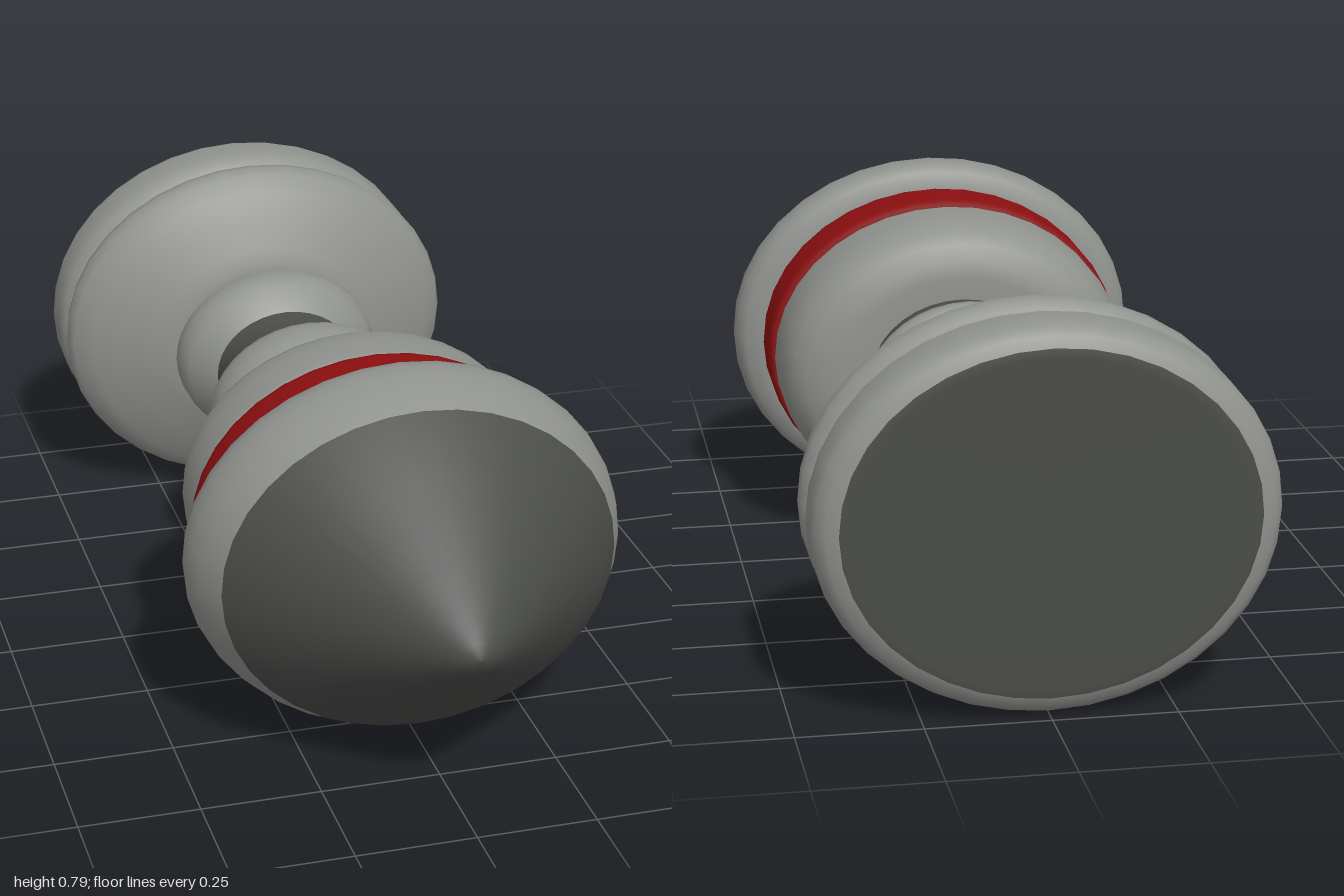
import * as THREE from 'three';

const CENTRE_Y = 0.397;
const SQUASH = 0.853; // height to width ratio of the oval cross-section

const material = (name, color) => {
  const m = new THREE.MeshStandardMaterial({ color });
  m.name = name;
  return m;
};

export function createModel() {
  const model = new THREE.Group();
  model.name = 'turnedSpindle';
  const light = material('light grey', 0x90928e);
  const dark = material('dark grey', 0x4a4c49);
  const red = material('red', 0x8c0f10);

  // Turns a [z, radius] profile, listed back to front, around the z axis
  const turn = (name, mat, profile) => {
    const points = profile.map(([z, r]) => new THREE.Vector2(r, z));
    const geometry = new THREE.LatheGeometry(points, 36);
    geometry.rotateX(Math.PI / 2);
    geometry.scale(1, SQUASH, 1);
    geometry.translate(0, CENTRE_Y, 0);
    const mesh = new THREE.Mesh(geometry, mat);
    mesh.name = name;
    model.add(mesh);
  };

  // Base
  turn('backDisc', dark, [[-1, 0], [-1, 0.39], [-0.997, 0.41]]);
  turn('baseRim', light, [[-0.997, 0.41], [-0.988, 0.435], [-0.97, 0.452], [-0.945, 0.46], [-0.885, 0.46],
    [-0.86, 0.452], [-0.845, 0.435], [-0.838, 0.405]]);
  turn('baseGroove', dark, [[-0.842, 0.412], [-0.808, 0.412]]);
  turn('baseFlange', light, [[-0.812, 0.405], [-0.806, 0.44], [-0.79, 0.457], [-0.765, 0.461], [-0.74, 0.45],
    [-0.71, 0.41], [-0.675, 0.33], [-0.65, 0.265], [-0.638, 0.23], [-0.636, 0.205]]);

  // Handle with its beads and grooves
  turn('rearGroove', dark, [[-0.645, 0.21], [-0.61, 0.21]]);
  turn('rearBead', light, [[-0.615, 0.205], [-0.61, 0.222], [-0.59, 0.235], [-0.55, 0.235], [-0.52, 0.22],
    [-0.49, 0.185], [-0.472, 0.165], [-0.47, 0.155]]);
  turn('neck', dark, [[-0.475, 0.165], [-0.45, 0.157], [-0.43, 0.155], [-0.36, 0.155], [-0.34, 0.157], [-0.315, 0.165]]);
  turn('middleBead', light, [[-0.32, 0.155], [-0.318, 0.17], [-0.295, 0.21], [-0.27, 0.228], [-0.24, 0.237],
    [-0.2, 0.235], [-0.17, 0.222], [-0.153, 0.21], [-0.15, 0.195]]);
  turn('middleGroove', dark, [[-0.155, 0.2], [-0.11, 0.2]]);
  turn('frontBead', light, [[-0.115, 0.195], [-0.11, 0.218], [-0.09, 0.23], [-0.07, 0.231], [-0.04, 0.22],
    [-0.003, 0.208], [0, 0.195]]);
  turn('frontGroove', dark, [[-0.005, 0.203], [0.045, 0.203]]);

  // Head
  turn('collar', light, [[0.036, 0.2], [0.036, 0.26], [0.042, 0.3], [0.06, 0.34], [0.085, 0.368], [0.12, 0.384],
    [0.17, 0.391], [0.245, 0.391], [0.262, 0.386], [0.268, 0.37]]);
  turn('redBand', red, [[0.267, 0.36], [0.267, 0.392], [0.274, 0.4], [0.29, 0.402], [0.38, 0.402], [0.396, 0.4],
    [0.404, 0.39]]);
  turn('shoulder', light, [[0.402, 0.385], [0.404, 0.41], [0.415, 0.44], [0.435, 0.457], [0.465, 0.462], [0.5, 0.459],
    [0.55, 0.445], [0.605, 0.416]]);
  turn('nose', dark, [[0.605, 0.416], [0.66, 0.37], [0.72, 0.313], [0.8, 0.235], [0.87, 0.165], [0.93, 0.102],
    [0.965, 0.062], [0.985, 0.036], [0.996, 0.015], [1, 0]]);

  return model;
}
